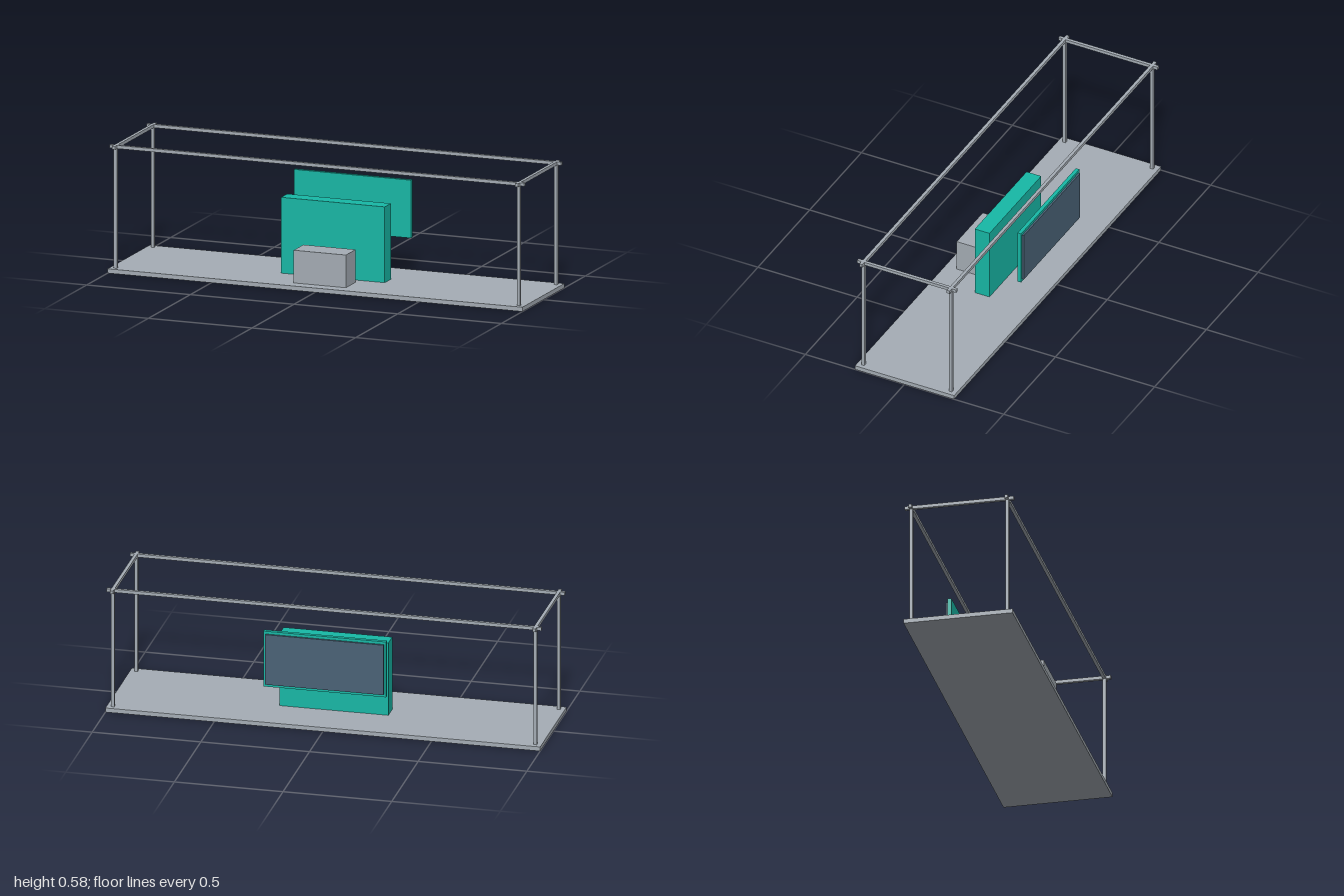
import * as THREE from 'three';

export function createModel() {
  const model = new THREE.Group();
  model.name = 'exhibitionBooth';

  const material = (name, color) => {
    const m = new THREE.MeshStandardMaterial({ color });
    m.name = name;
    return m;
  };
  const grey = material('lightGrey', 0xa5adb5);
  const teal = material('teal', 0x17b8a6);
  const slate = material('slateBlue', 0x4a6276);

  // Box given by its extents on each axis
  const box = (name, mat, [x0, x1], [y0, y1], [z0, z1]) => {
    const mesh = new THREE.Mesh(new THREE.BoxGeometry(x1 - x0, y1 - y0, z1 - z0), mat);
    mesh.position.set((x0 + x1) / 2, (y0 + y1) / 2, (z0 + z1) / 2);
    mesh.name = name;
    model.add(mesh);
  };
  const around = (c, size) => [c - size / 2, c + size / 2];

  // Floor slab
  box('floor', grey, [-1, 1], [0, 0.02], [-0.25, 0.25]);

  // Open frame: corner posts and top rails that cross at the corners
  const bar = 0.015, postX = 0.972, postZ = 0.2205, top = [0.57, 0.585];
  for (const s of [-1, 1]) {
    for (const t of [-1, 1]) {
      box('post', grey, around(s * postX, bar), [0.02, 0.584], around(t * postZ, bar));
    }
    box('longRail', grey, [-1, 1], top, around(s * postZ, bar));
    box('crossRail', grey, around(s * postX, bar), top, [-0.25, 0.25]);
  }

  // Central wall with a counter in front of it
  box('centreWall', teal, [-0.25, 0.25], [0.01, 0.368], [-0.037, 0.037]);
  box('counter', grey, [-0.126, 0.126], [0.02, 0.17], [0.077, 0.193]);

  // Hanging display at the back, its screen facing outwards
  box('displayPanel', teal, [-0.282, 0.282], [0.177, 0.443], [-0.213, -0.195]);
  box('displayScreen', slate, [-0.272, 0.272], [0.19, 0.43], [-0.222, -0.213]);

  return model;
}
